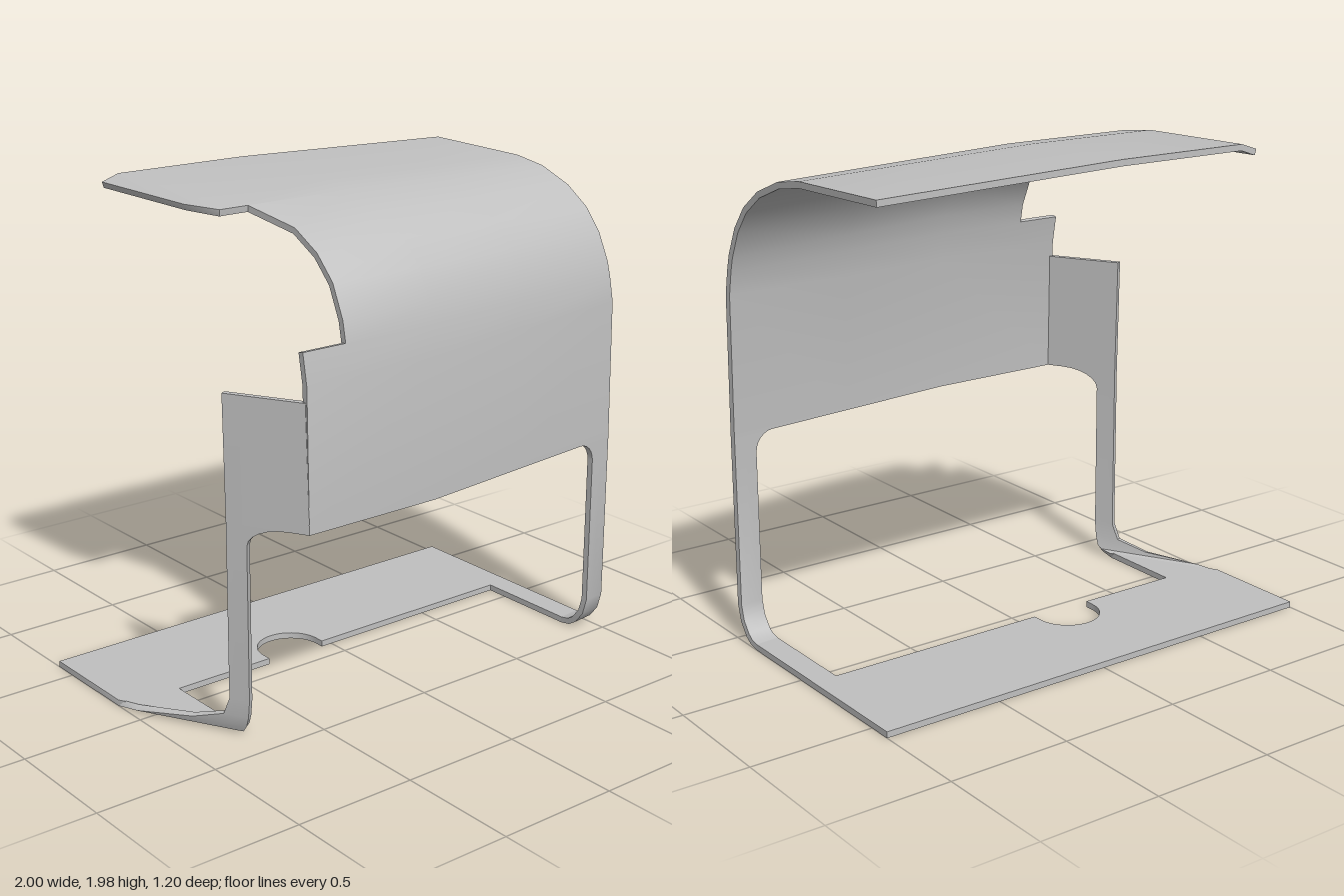
import * as THREE from 'three';
import { mergeGeometries, toCreasedNormals } from 'three/addons/utils/BufferGeometryUtils.js';

const T = 0.025; // sheet thickness
const V = (x, y, z) => new THREE.Vector3(x, y, z);
const lerp = THREE.MathUtils.lerp;

// Closed sheet from a grid of outer points; rows run upward, columns toward +x
function slab(rows) {
  const m = rows.length, n = rows[0].length;
  const at = (i, j) => rows[Math.min(Math.max(i, 0), m - 1)][Math.min(Math.max(j, 0), n - 1)];
  const inner = rows.map((row, i) => row.map((p, j) => {
    const du = at(i, j + 1).clone().sub(at(i, j - 1));
    const dv = at(i + 1, j).clone().sub(at(i - 1, j));
    return p.clone().addScaledVector(du.cross(dv).normalize(), -T);
  }));
  const pos = [];
  const quad = (a, b, c, d) => [a, b, c, a, c, d].forEach(p => pos.push(p.x, p.y, p.z));
  for (let i = 0; i < m - 1; i++) {
    for (let j = 0; j < n - 1; j++) {
      quad(rows[i][j], rows[i][j + 1], rows[i + 1][j + 1], rows[i + 1][j]);
      quad(inner[i][j], inner[i + 1][j], inner[i + 1][j + 1], inner[i][j + 1]);
    }
    quad(inner[i][0], rows[i][0], rows[i + 1][0], inner[i + 1][0]);
    quad(rows[i][n - 1], inner[i][n - 1], inner[i + 1][n - 1], rows[i + 1][n - 1]);
  }
  for (let j = 0; j < n - 1; j++) {
    quad(inner[0][j], inner[0][j + 1], rows[0][j + 1], rows[0][j]);
    quad(rows[m - 1][j], rows[m - 1][j + 1], inner[m - 1][j + 1], inner[m - 1][j]);
  }
  const g = new THREE.BufferGeometry();
  g.setAttribute('position', new THREE.Float32BufferAttribute(pos, 3));
  return g;
}

// Hood profiles [z, y]: full depth, and the shallower one at the left end
const DEEP = [[.6, .85], [.59, 1.4], [.568, 1.52], [.552, 1.6], [.495, 1.725], [.406, 1.815],
  [.29, 1.888], [.09, 1.945], [-.07, 1.965], [-.6, 1.975]];
const SHALLOW = [[.485, .85], [.475, 1.42], [.455, 1.52], [.438, 1.58], [.385, 1.69], [.31, 1.78],
  [.2, 1.855], [.05, 1.912], [-.1, 1.935], [-.6, 1.945]];
const taper = x => Math.max(0, (x + .05) / 1.05);
const hoodPoint = (i, x, drop = 0) => V(x,
  lerp(DEEP[i][1], SHALLOW[i][1], taper(x)) - drop, lerp(DEEP[i][0], SHALLOW[i][0], taper(x)));
const hoodRow = (i, xs) => xs.map(x => hoodPoint(i, x));
const frontZ = x => lerp(.6, .485, taper(x));

// Slanted corner wall: z on the wall plane at x, moved inward by n
const slantZ = (x, n = 0) => .6 - (-.64 - x) * 1.806 - n / .485;
const slantRow = (y, n, x0, x1) => [0, 1, 2, 3].map(k => {
  const x = lerp(x0, x1, k / 3);
  return V(x, y, slantZ(x, n));
});

// Quarter round for the opening corners: calls f(cos, y) from the leg up
const quarter = f => [0, 1, 2, 3, 4, 5, 6].map(k => {
  const a = k * Math.PI / 12;
  return f(.08 * Math.cos(a), .77 + .08 * Math.sin(a));
});

function hoodGeometry() {
  const rest = [-.05, .45, 1];
  const lower = slab([0, 1, 2].map(i => hoodRow(i, [-.64, ...rest])));
  // Side notch edge
  const notch = [-.45, -.45, -.45, -.45, -.46, -.52];
  const middle = slab(notch.map((x, k) => hoodRow(k + 2, [x, ...rest])));
  // Top with a drooping right edge
  const edge = [[-.645, 0], [-.69, .02], [-.71, .025]];
  const upper = slab(edge.map(([x, d], k) => [hoodPoint(k + 7, x, d), ...hoodRow(k + 7, [-.635, ...rest])]));
  return mergeGeometries([lower, middle, upper]);
}

function leftLegGeometry() {
  const row = (y, back, x0) => [x0, (x0 + 1) / 2, 1].map(x => V(x, y, frontZ(x) - back));
  const foot = [[0, .14], [.008, .095], [.03, .06], [.08, .02], [.15, 0]].map(([y, b]) => row(y, b, .9));
  return slab([...foot, ...quarter((c, y) => row(y, 0, .82 + c))]);
}

function rightLegGeometry() {
  const foot = [[0, .05, -1], [.012, .02, -.98], [.04, .01, -.87], [.08, .004, -.81], [.15, 0, -.8]]
    .map(([y, n, x]) => slantRow(y, n, x, -.76));
  const leg = slab([...foot, ...quarter((c, y) => slantRow(y, 0, -.8, -.68 - c))]);
  const wall = slab([slantRow(.85, 0, -.8, -.64), slantRow(1.34, .005, -.8, -.643)]);
  return mergeGeometries([leg, wall]);
}

// Floor plate with front cutout and round notch
function floorGeometry() {
  const s = new THREE.Shape();
  s.moveTo(-1, .153);
  s.lineTo(-.76, -.28);
  s.lineTo(-.76, .09);
  s.lineTo(-.32, .09);
  s.lineTo(-.32, .13);
  s.absarc(-.185, .13, .135, Math.PI, 0, true);
  s.lineTo(-.05, .09);
  s.lineTo(.9, .09);
  s.lineTo(.9, -.356);
  s.lineTo(1, -.345);
  s.lineTo(1, .6);
  s.lineTo(-1, .6);
  s.closePath();
  return new THREE.ExtrudeGeometry(s, { depth: T, bevelEnabled: false, curveSegments: 16 }).rotateX(-Math.PI / 2);
}

export function createModel() {
  const group = new THREE.Group();
  const grey = new THREE.MeshStandardMaterial({ color: 0xc0c0c0 });
  grey.name = 'grey';
  const add = (name, geometry) => {
    const mesh = new THREE.Mesh(toCreasedNormals(geometry, Math.PI / 5), grey);
    mesh.name = name;
    group.add(mesh);
  };
  add('curvedHood', hoodGeometry());
  add('leftLeg', leftLegGeometry());
  add('slantedRightLeg', rightLegGeometry());
  add('floorPlate', floorGeometry());
  return group;
}
